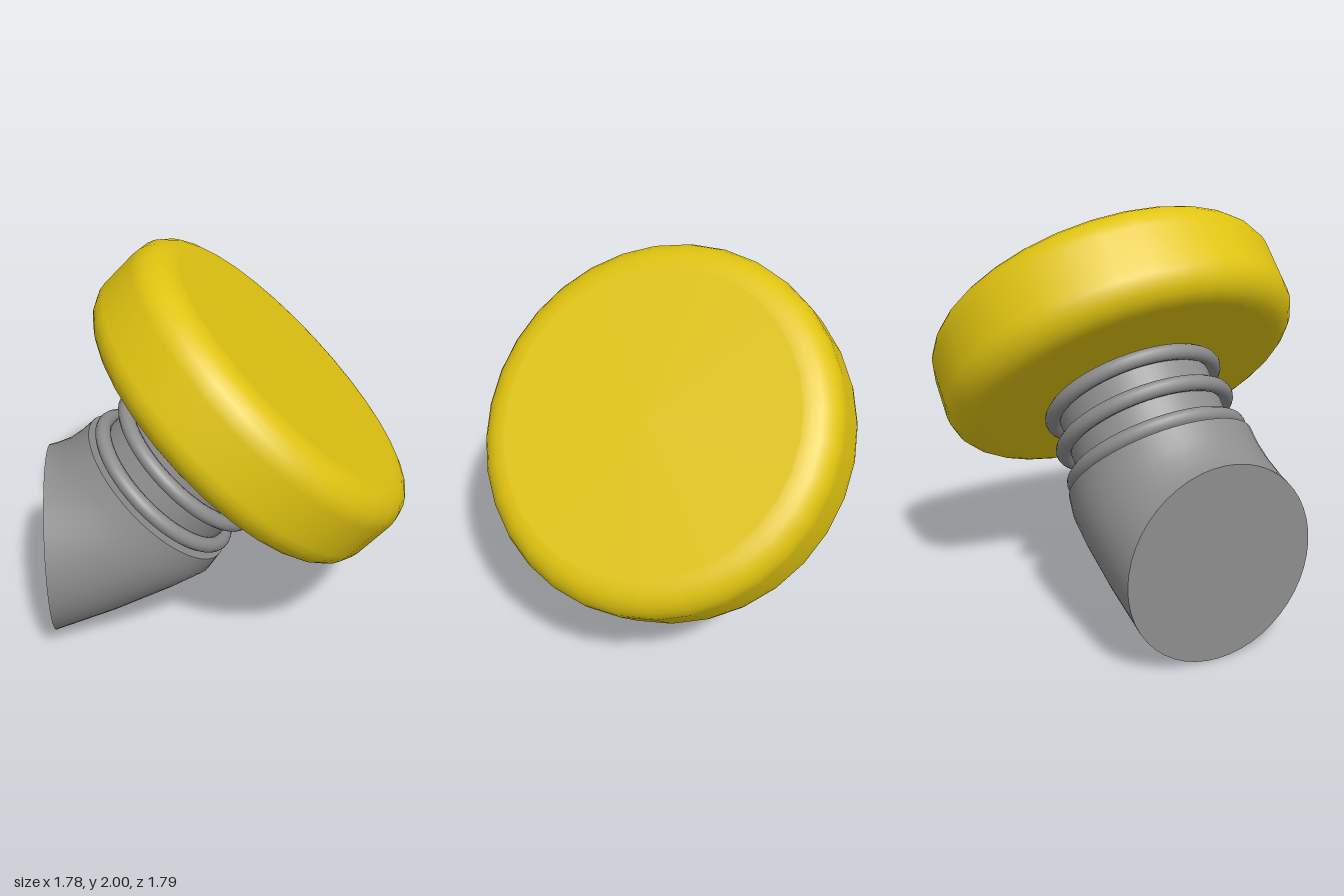
import * as THREE from 'three';

const yellow = new THREE.MeshStandardMaterial({ color: 0xe0c410 });
yellow.name = 'yellow';
const grey = new THREE.MeshStandardMaterial({ color: 0x8e8e8e });
grey.name = 'grey';

function addMesh(parent, name, geometry, material) {
  const mesh = new THREE.Mesh(geometry, material);
  mesh.name = name;
  parent.add(mesh);
  return mesh;
}

function indexed(positions, index) {
  const g = new THREE.BufferGeometry();
  g.setAttribute('position', new THREE.Float32BufferAttribute(positions, 3));
  g.setIndex(index);
  g.computeVertexNormals();
  return g;
}

// Rounded disc profile, turned around its own axis
function capGeometry(radius, half, round) {
  const pts = [new THREE.Vector2(0, -half), new THREE.Vector2(radius - round - 0.01, -half)];
  for (const [sign, start] of [[-1, -Math.PI / 2], [1, 0]]) {
    for (let i = 0; i <= 6; i++) {
      const a = start + (i / 6) * Math.PI / 2;
      pts.push(new THREE.Vector2(
        radius - round + round * Math.cos(a),
        sign * (half - round) + round * Math.sin(a)));
    }
  }
  pts.push(new THREE.Vector2(radius - round - 0.01, half), new THREE.Vector2(0, half));
  return new THREE.LatheGeometry(pts, 32);
}

// Elliptic cross-sections: bottom x, y, top x, y, half width in z
const SECTIONS = [
  [-0.88, 0.0, -0.89, 0.95, 0.478],
  [-0.54, 0.13, -0.86, 0.955, 0.478],
  [-0.23, 0.27, -0.80, 0.98, 0.476],
  [-0.07, 0.35, -0.735, 1.03, 0.47],
  [-0.01, 0.44, -0.67, 1.09, 0.463],
];
const SIDES = 48;

function sectionPoints([bx, by, tx, ty, w]) {
  const out = [];
  for (let j = 0; j < SIDES; j++) {
    const a = (j / SIDES) * Math.PI * 2, c = Math.cos(a) / 2;
    out.push((bx + tx) / 2 + (tx - bx) * c, (by + ty) / 2 + (ty - by) * c, w * Math.sin(a));
  }
  return out;
}

function elbowSide() {
  const index = [];
  for (let i = 0; i < SECTIONS.length - 1; i++) {
    for (let j = 0; j < SIDES; j++) {
      const k = (j + 1) % SIDES;
      const a = i * SIDES + j, b = i * SIDES + k;
      index.push(a, b, b + SIDES, a, b + SIDES, a + SIDES);
    }
  }
  return indexed(SECTIONS.flatMap(sectionPoints), index);
}

function elbowEnd(section, flip) {
  const index = [];
  for (let j = 1; j < SIDES - 1; j++) index.push(0, flip ? j + 1 : j, flip ? j : j + 1);
  return indexed(sectionPoints(section), index);
}

export function createModel() {
  const model = new THREE.Group();
  model.name = 'angledKnob';

  // Bent base with a flat upright end
  const base = new THREE.Group();
  base.name = 'base';
  model.add(base);
  addMesh(base, 'baseSide', elbowSide(), grey);
  addMesh(base, 'baseMountFace', elbowEnd(SECTIONS[0], true), grey);
  addMesh(base, 'baseNeckFace', elbowEnd(SECTIONS[SECTIONS.length - 1], false), grey);

  // Tilted head: cap, neck and rings share one axis
  const head = new THREE.Group();
  head.name = 'head';
  head.position.set(0.14, 1.255, 0);
  head.rotation.z = -THREE.MathUtils.degToRad(44.2);
  model.add(head);
  addMesh(head, 'cap', capGeometry(0.895, 0.25, 0.15), yellow);

  const neck = addMesh(head, 'neck', new THREE.CylinderGeometry(0.385, 0.385, 0.5, 48), grey);
  neck.position.y = -0.45;

  for (const y of [-0.3, -0.468, -0.635]) {
    const ring = addMesh(head, 'neckRing', new THREE.TorusGeometry(0.415, 0.038, 12, 48), grey);
    ring.rotation.x = Math.PI / 2;
    ring.position.y = y;
  }
  return model;
}
